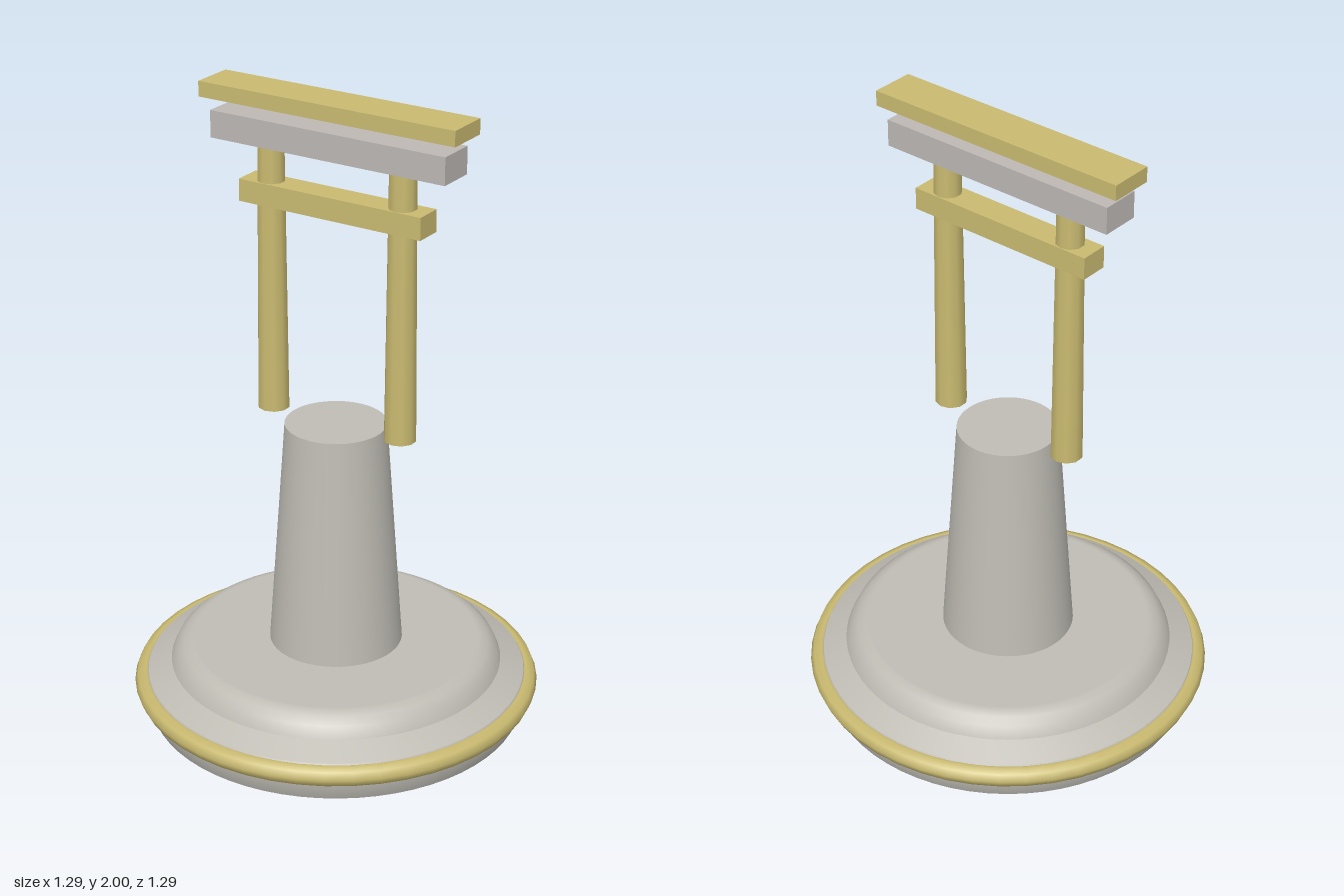
import * as THREE from 'three';
import { toCreasedNormals } from 'three/addons/utils/BufferGeometryUtils.js';

export function createModel() {
  const model = new THREE.Group();
  model.name = 'gateOnPedestal';

  const material = (name, color) => {
    const m = new THREE.MeshStandardMaterial({ color });
    m.name = name;
    return m;
  };
  const stone = material('warm stone', 0xbfbcb4);
  const paleStone = material('pale grey', 0xbdb8b4);
  const gold = material('muted gold', 0xc9ba70);

  const add = (name, geometry, mat, x = 0, y = 0, z = 0) => {
    const mesh = new THREE.Mesh(geometry, mat);
    mesh.name = name;
    mesh.position.set(x, y, z);
    model.add(mesh);
    return mesh;
  };

  // Round base with a bevelled top step
  const profile = [
    [0, 0], [0.593, 0], [0.616, 0.055], [0.616, 0.1], [0.6, 0.127], [0.525, 0.163],
    [0.508, 0.2], [0.485, 0.22], [0.46, 0.231], [0.45, 0.231], [0, 0.231],
  ].map(([r, y]) => new THREE.Vector2(r, y));
  add('base', toCreasedNormals(new THREE.LatheGeometry(profile, 64), 0.5), stone);

  // Gold ring around the rim
  const ring = new THREE.TorusGeometry(0.61, 0.033, 8, 48);
  ring.rotateX(Math.PI / 2);
  add('rimRing', ring, gold, 0, 0.093);

  // Tapered column
  add('column', new THREE.CylinderGeometry(0.158, 0.21, 0.742, 48), stone, 0, 0.602);

  // Pair of gate posts
  for (const [side, name] of [[1, 'leftPost'], [-1, 'rightPost']]) {
    add(name, new THREE.CylinderGeometry(0.042, 0.05, 0.857, 10), gold, side * 0.23, 1.4015);
  }

  // Cross beams: name, width, height, depth, centre height, material
  const beams = [
    ['tieBeam', 0.634, 0.07, 0.09, 1.677, gold],
    ['lintel', 0.81, 0.085, 0.124, 1.872, paleStone],
    ['topBeam', 0.88, 0.048, 0.14, 1.976, gold],
  ];
  for (const [name, w, h, d, y, mat] of beams) {
    add(name, new THREE.BoxGeometry(w, h, d), mat, 0, y);
  }

  return model;
}
